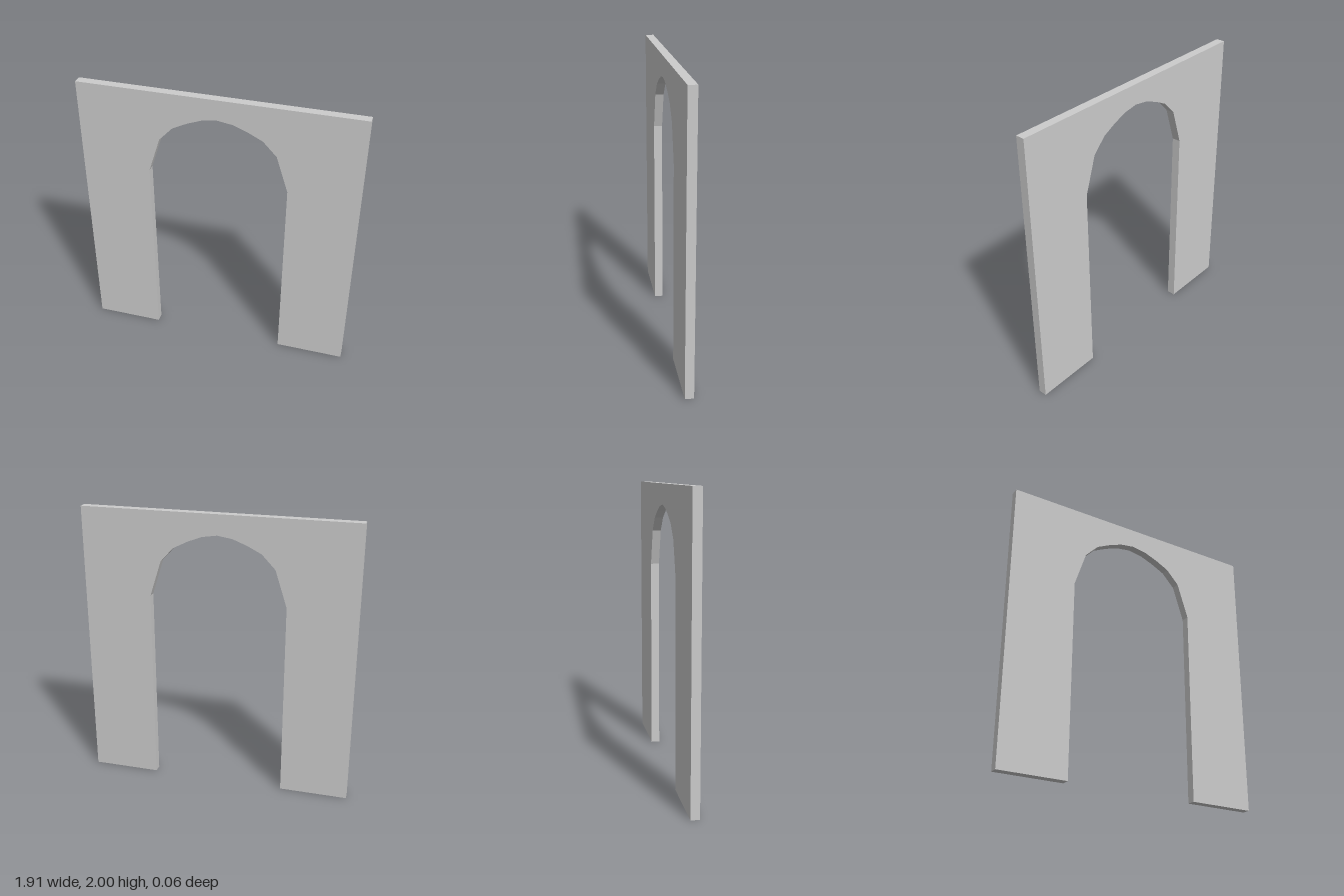
import * as THREE from 'three';

const HALF_WIDTH = 0.957, HEIGHT = 2, DEPTH = 0.06;

// Right half of the arch opening, from the spring line up to the crown
const ARCH = [[0.478, 1.4], [0.396, 1.655], [0.302, 1.754], [0.2, 1.805], [0.103, 1.842]];
const CROWN = [0, 1.858];

export function createModel() {
  const group = new THREE.Group();
  group.name = 'archway';

  // Wall outline with the doorway open at the floor, counter-clockwise
  const jamb = ARCH[0][0];
  const mirrored = ARCH.map(([x, y]) => [-x, y]);
  const outline = [
    [jamb, 0], [HALF_WIDTH, 0], [HALF_WIDTH, HEIGHT],
    [-HALF_WIDTH, HEIGHT], [-HALF_WIDTH, 0], [-jamb, 0],
    ...mirrored, CROWN, ...ARCH.slice().reverse(),
  ];
  const shape = new THREE.Shape(outline.map(([x, y]) => new THREE.Vector2(x, y)));

  // Thin slab centred on z = 0
  const geometry = new THREE.ExtrudeGeometry(shape, { depth: DEPTH, bevelEnabled: false });
  geometry.translate(0, 0, -DEPTH / 2);

  const wall = new THREE.Mesh(
    geometry,
    new THREE.MeshStandardMaterial({ color: 0xcccccc, flatShading: true }),
  );
  wall.name = 'archedWall';
  group.add(wall);
  return group;
}
